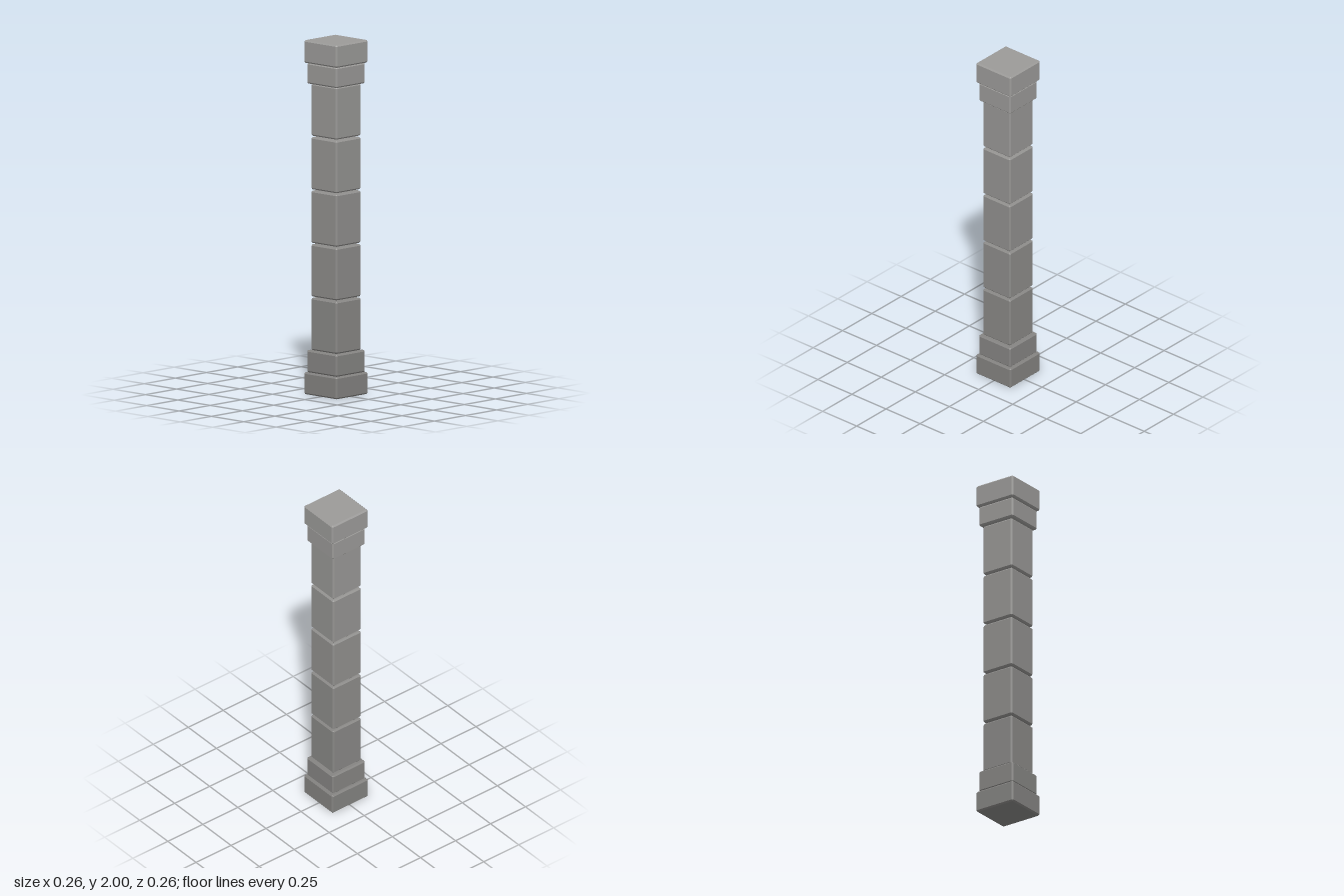
import * as THREE from 'three';
import { ConvexGeometry } from 'three/addons/geometries/ConvexGeometry.js';

// Stone darkens gradually from the capital down to the base
const darkStone = new THREE.Color(0x82817f);
const lightStone = new THREE.Color(0x9c9b99);

// Square block from y0 to y1 with every edge chamfered by c
function block(name, half, y0, y1, c = 0.008) {
  const h = (y1 - y0) / 2;
  const middle = (y0 + y1) / 2;
  const points = [];
  for (const x of [-1, 1]) for (const y of [-1, 1]) for (const z of [-1, 1]) {
    points.push(
      new THREE.Vector3(x * half, y * (h - c), z * (half - c)),
      new THREE.Vector3(x * (half - c), y * h, z * (half - c)),
      new THREE.Vector3(x * (half - c), y * (h - c), z * half)
    );
  }
  const material = new THREE.MeshStandardMaterial({
    color: darkStone.clone().lerp(lightStone, middle / 2),
    flatShading: true
  });
  const mesh = new THREE.Mesh(new ConvexGeometry(points), material);
  mesh.name = name;
  mesh.position.y = middle;
  return mesh;
}

export function createModel() {
  const pillar = new THREE.Group();
  pillar.name = 'pillar';

  // Stepped base
  pillar.add(block('baseLower', 0.128, 0, 0.124));
  pillar.add(block('baseUpper', 0.117, 0.124, 0.249));

  // Shaft of five stacked blocks with narrow open joints
  const pitch = 0.3027, height = 0.295;
  for (let i = 0; i < 5; i++) {
    const y = 0.249 + i * pitch;
    pillar.add(block('shaftBlock' + (i + 1), 0.1, y, y + height));
  }

  // Stepped capital
  pillar.add(block('capitalLower', 0.117, 1.755, 1.872));
  pillar.add(block('capitalUpper', 0.128, 1.872, 2));

  return pillar;
}
